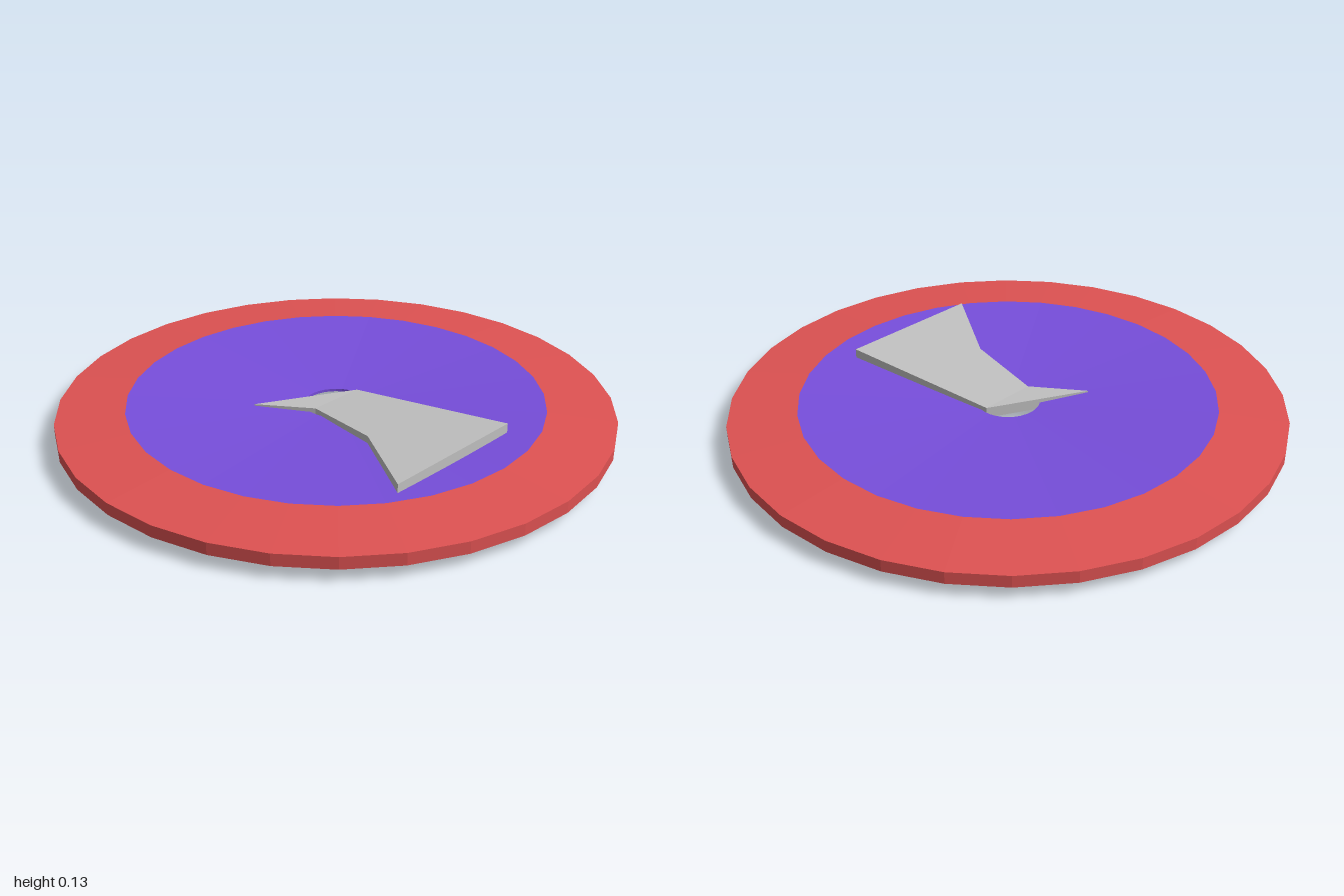
import * as THREE from 'three';
import { ConvexGeometry } from 'three/addons/geometries/ConvexGeometry.js';

const MID = 0.067; // height of the disc's middle plane

function material(name, color) {
  const m = new THREE.MeshStandardMaterial({ color, flatShading: true });
  m.name = name;
  return m;
}

// Half thickness of the blade, growing towards the front end
const half = z => 0.02 + 0.0465 * Math.max(0, z) / 0.61;

// Ring turned from a profile of [radius, height above the middle]
function ring(name, profile, mat) {
  const points = profile.map(([r, h]) => new THREE.Vector2(r, MID + h));
  const mesh = new THREE.Mesh(new THREE.LatheGeometry(points, 32), mat);
  mesh.name = name;
  return mesh;
}

export function createModel() {
  const red = material('red', 0xde5252);
  const purple = material('purple', 0x774edb);
  const grey = material('grey', 0xc0c0c0);
  red.side = purple.side = THREE.DoubleSide;

  const model = new THREE.Group();
  model.name = 'disc';

  // Outer ring, thinning towards the rim
  model.add(ring('outerRing', [[0.755, -0.0375], [1, -0.0215], [1, 0.0215], [0.755, 0.0375]], red));

  // Inner disc, dished towards the centre hole
  model.add(ring('innerDisc', [[0.755, 0.0375], [0.116, 0.005], [0.116, -0.005], [0.755, -0.0375]], purple));

  // Blade: tapered plate with a pointed tip behind
  const outline = [[-0.235, -0.18], [-0.105, 0], [-0.21, 0.61], [0.21, 0.61], [0.11, 0]];
  const shape = new THREE.Shape(outline.map(([x, z]) => new THREE.Vector2(x, -z)));
  const plate = new THREE.ExtrudeGeometry(shape, { depth: 1, bevelEnabled: false });
  plate.rotateX(-Math.PI / 2);
  const pos = plate.attributes.position;
  for (let i = 0; i < pos.count; i++) {
    const h = half(pos.getZ(i));
    pos.setY(i, MID + (pos.getY(i) > 0.5 ? h : -h));
  }
  plate.computeVertexNormals();
  const blade = new THREE.Mesh(plate, grey);
  blade.name = 'blade';
  model.add(blade);

  // Side barb: flush on top, slanted underneath
  const corners = [];
  for (const [x, z] of [[-0.155, 0.3], [-0.21, 0.61]]) {
    for (const s of [1, -1]) corners.push(new THREE.Vector3(x, MID + s * half(z), z));
  }
  corners.push(new THREE.Vector3(-0.35, MID + half(0.61), 0.61), new THREE.Vector3(-0.35, 0.065, 0.61));
  const barb = new THREE.Mesh(new ConvexGeometry(corners), grey);
  barb.name = 'bladeBarb';
  model.add(barb);

  return model;
}
